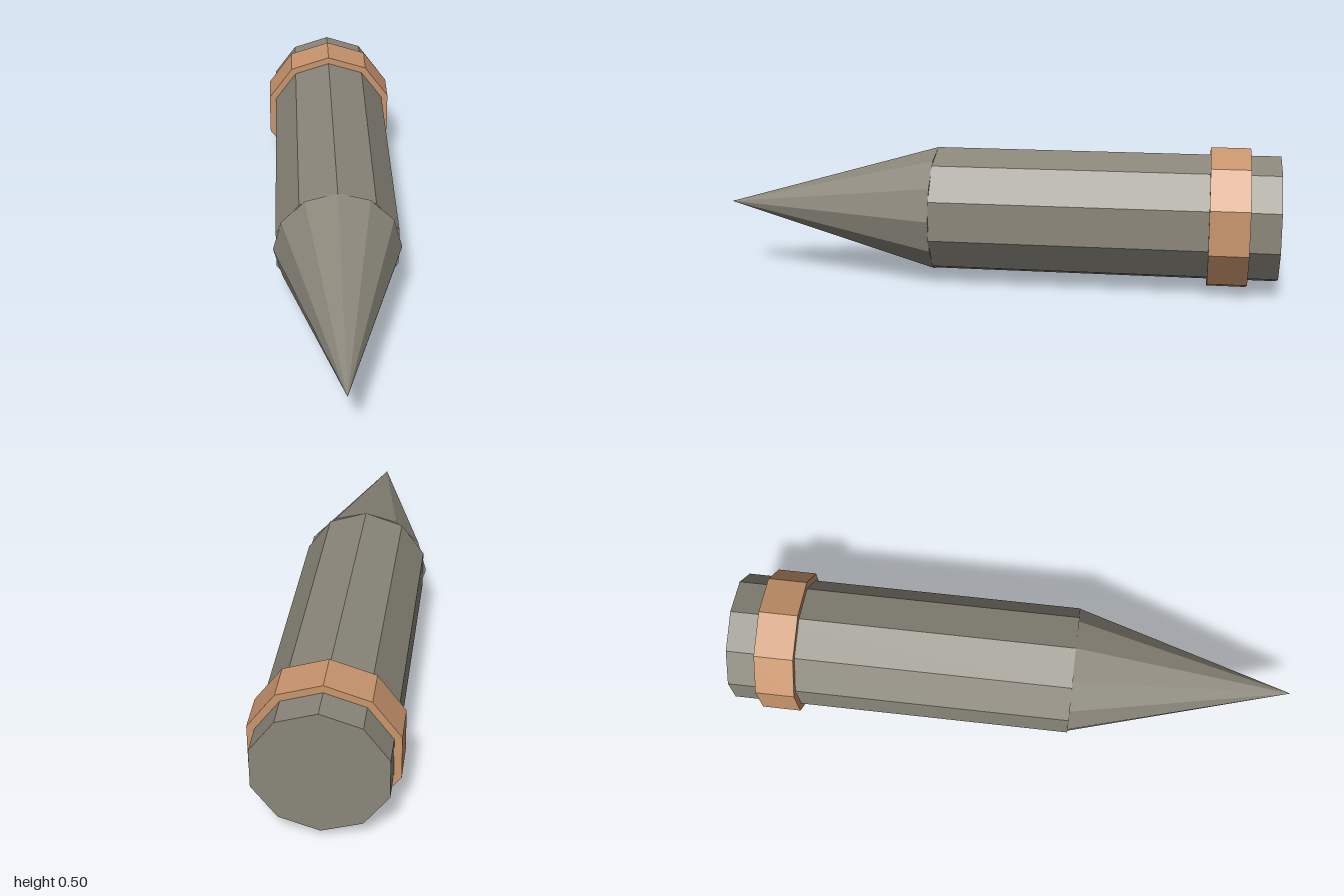
import * as THREE from 'three';

const CENTRE_Y = 0.252;

export function createModel() {
  const model = new THREE.Group();
  model.name = 'bullet';

  const mat = (name, color) => {
    const m = new THREE.MeshStandardMaterial({ color, flatShading: true });
    m.name = name;
    return m;
  };
  const grey = mat('warm grey', 0x8a867a);
  const copper = mat('copper', 0xc8956c);

  // Faceted solid of revolution lying along z, from zBack to zFront
  const addRound = (name, rFront, rBack, zBack, zFront, sides, material) => {
    const geo = rFront === 0
      ? new THREE.ConeGeometry(rBack, zFront - zBack, sides)
      : new THREE.CylinderGeometry(rFront, rBack, zFront - zBack, sides);
    geo.rotateX(Math.PI / 2);
    const mesh = new THREE.Mesh(geo, material);
    mesh.name = name;
    mesh.position.set(0, CENTRE_Y, (zBack + zFront) / 2);
    model.add(mesh);
  };

  addRound('body', 0.226, 0.226, -1, 0.217, 10, grey);
  addRound('tip', 0, 0.226, 0.215, 1, 12, grey);
  addRound('band', 0.252, 0.252, -0.895, -0.757, 10, copper);

  return model;
}
